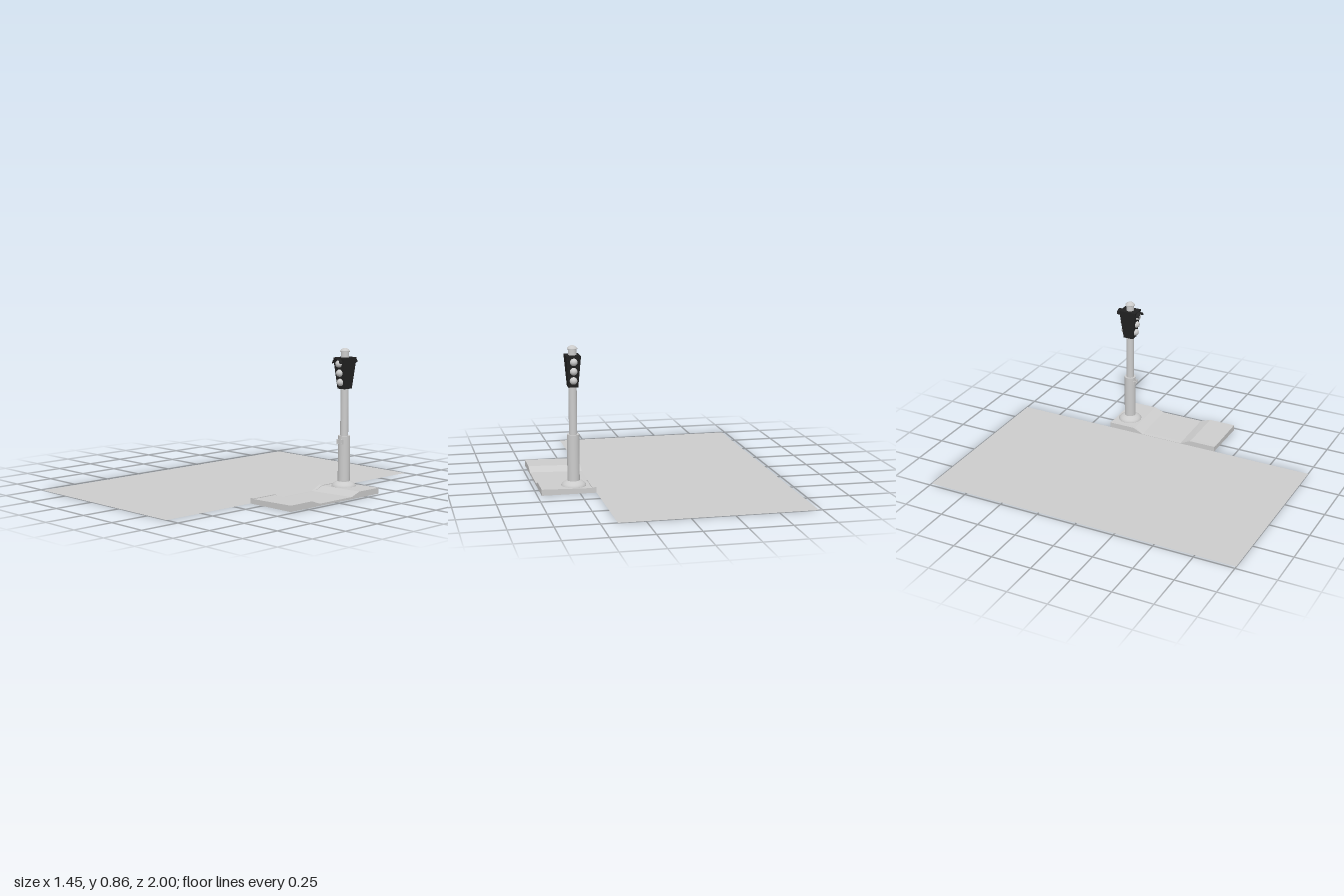
import * as THREE from 'three';

const grey = new THREE.MeshStandardMaterial({ color: 0xcccccc });
const greyThin = new THREE.MeshStandardMaterial({ color: 0xcccccc, side: THREE.DoubleSide });
const black = new THREE.MeshStandardMaterial({ color: 0x222222 });
const blackThin = new THREE.MeshStandardMaterial({ color: 0x222222, side: THREE.DoubleSide });

function add(parent, name, geometry, material, x = 0, y = 0, z = 0) {
  const mesh = new THREE.Mesh(geometry, material);
  mesh.name = name;
  mesh.position.set(x, y, z);
  parent.add(mesh);
  return mesh;
}

// Slab with a dropped middle; heights [raised, dropped] may differ at its two x ends
function droppedSlab(x0, x1, inner, outer) {
  const shape = new THREE.Shape([
    [-0.37, 0], [0.37, 0], [0.37, 0.03], [0.2, 0.03],
    [0.135, 0.01], [-0.135, 0.01], [-0.2, 0.03], [-0.37, 0.03],
  ].map(([z, y]) => new THREE.Vector2(z, y)));
  const g = new THREE.ExtrudeGeometry(shape, { depth: x1 - x0, bevelEnabled: false });
  g.rotateY(Math.PI / 2);
  const p = g.attributes.position;
  for (let i = 0; i < p.count; i++) {
    if (p.getY(i) < 0.001) continue;
    const heights = p.getX(i) > (x1 - x0) / 2 ? outer : inner;
    p.setY(i, heights[Math.abs(p.getZ(i)) > 0.17 ? 0 : 1]);
  }
  g.translate(x0, 0, 0);
  g.computeVertexNormals();
  return g;
}

function lathe(points, segments = 32) {
  return new THREE.LatheGeometry(points.map(([r, y]) => new THREE.Vector2(r, y)), segments);
}

// Signal housing, a box tapering towards its foot
function taperedHousing() {
  const g = new THREE.BoxGeometry(2, 0.185, 2);
  const p = g.attributes.position;
  for (let i = 0; i < p.count; i++) {
    const top = p.getY(i) > 0;
    p.setX(i, p.getX(i) * (top ? 0.042 : 0.028));
    p.setZ(i, p.getZ(i) * (top ? 0.056 : 0.032));
  }
  g.computeVertexNormals();
  return g;
}

export function createModel() {
  const model = new THREE.Group();
  model.name = 'crossingSignal';

  // Road and pavement
  const road = new THREE.PlaneGeometry(1.135, 2).rotateX(-Math.PI / 2);
  add(model, 'road', road, greyThin, -0.1625, 0, 0);
  add(model, 'kerb', droppedSlab(0.405, 0.43, [0.033, 0.002], [0.033, 0.004]), grey);
  add(model, 'pavement', droppedSlab(0.43, 0.725, [0.029, 0.004], [0.036, 0.013]), grey);

  const signal = new THREE.Group();
  signal.name = 'signal';
  signal.position.set(0.525, 0, -0.285);
  model.add(signal);

  // Pole in two thicknesses on a flared foot
  add(signal, 'foot', lathe([[0.073, 0.028], [0.073, 0.035], [0.066, 0.045],
    [0.054, 0.054], [0.04, 0.06], [0.034, 0.062]]), grey);
  add(signal, 'lowerPole', new THREE.CylinderGeometry(0.036, 0.036, 0.295, 32), grey, 0, 0.1875, 0);
  add(signal, 'upperPole', new THREE.CylinderGeometry(0.024, 0.024, 0.51, 32), grey, 0, 0.58, 0);
  add(signal, 'cap', lathe([[0.001, 0.832], [0.03, 0.834], [0.03, 0.838],
    [0.022, 0.848], [0.011, 0.854], [0, 0.856]]), grey);

  // Push button between two small brackets
  const button = new THREE.Group();
  button.name = 'pushButton';
  button.position.set(0, 0.3, 0.036);
  signal.add(button);
  for (const side of [-1, 1]) {
    add(button, 'bracket', new THREE.BoxGeometry(0.004, 0.028, 0.018), grey, side * 0.019, 0, -0.003);
    for (const end of [-1, 1]) {
      add(button, 'bracketLip', new THREE.BoxGeometry(0.01, 0.004, 0.014), grey,
        side * 0.014, end * 0.012, -0.001);
    }
  }
  add(button, 'button', new THREE.BoxGeometry(0.012, 0.006, 0.012), grey);

  // Two-faced signal head
  add(signal, 'housing', taperedHousing(), black, 0, 0.7075, 0);
  for (const face of [-1, 1]) {
    for (const y of [0.765, 0.71, 0.655]) {
      const z = 0.032 + (y - 0.615) * 0.13;
      add(signal, 'lens', new THREE.SphereGeometry(0.022, 24, 16), grey, 0, y, face * z);
    }
    // Arched visor over the top lens
    const visor = new THREE.CylinderGeometry(0.029, 0.029, 0.036, 20, 1, true, -Math.PI / 2, Math.PI);
    visor.rotateX(-Math.PI / 2);
    add(signal, 'visor', visor, blackThin, 0, 0.768, face * 0.062);
  }
  return model;
}
